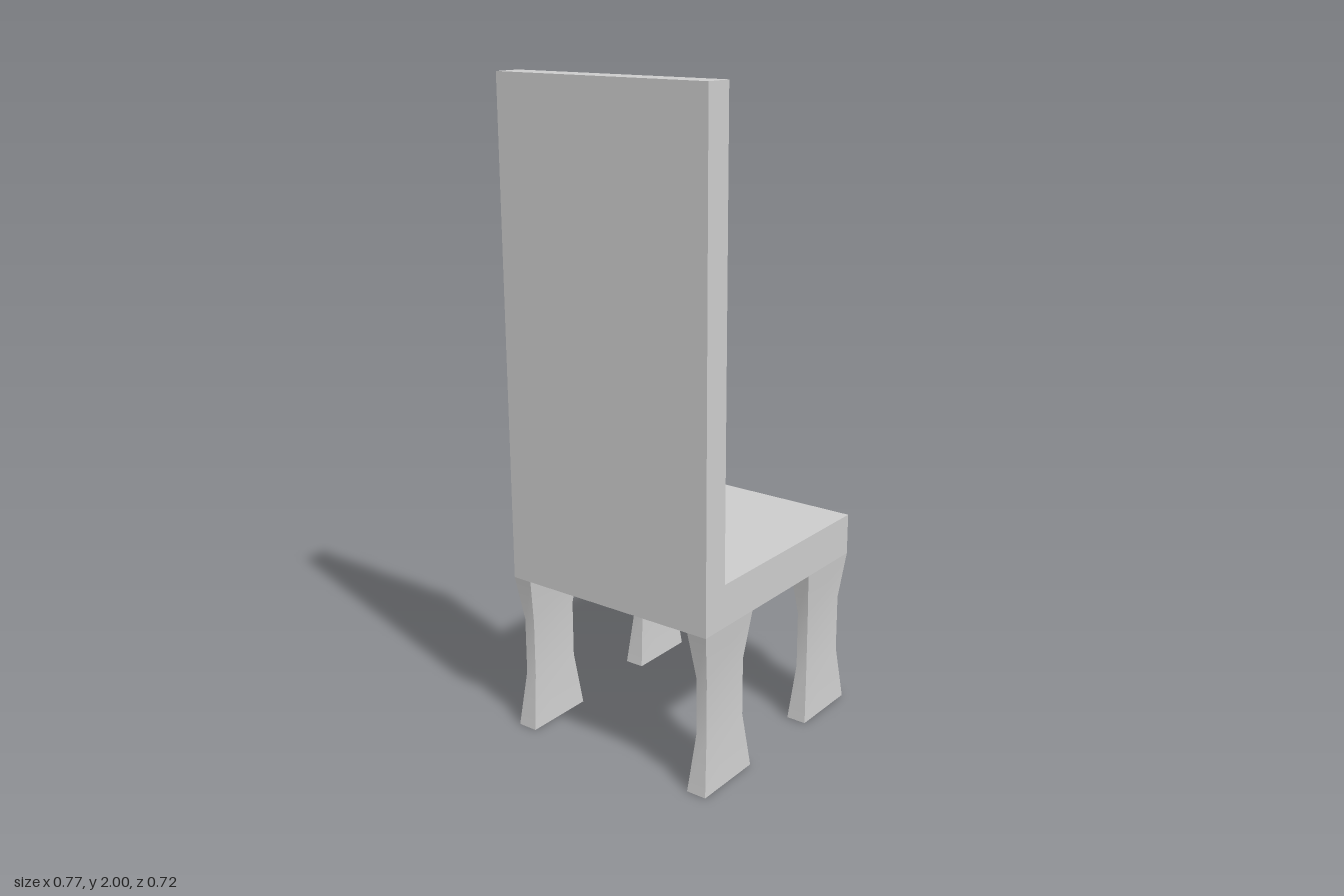
import * as THREE from 'three';

const material = new THREE.MeshStandardMaterial({ color: 0xcccccc });

// Leg: a box with four rings, pinched in the middle; faces shade smoothly, corners stay sharp
function createLegGeometry() {
  const rings = [ // y, half width (x), half depth (z), top to bottom
    [0.5, 0.115, 0.032],
    [0.355, 0.09, 0.018],
    [0.175, 0.09, 0.018],
    [0, 0.115, 0.032],
  ];
  const geometry = new THREE.BoxGeometry(2, 3, 2, 1, 3, 1);
  const p = geometry.attributes.position;
  for (let i = 0; i < p.count; i++) {
    const [y, hw, hd] = rings[Math.round(1.5 - p.getY(i))];
    p.setXYZ(i, p.getX(i) * hw, y, p.getZ(i) * hd);
  }
  geometry.computeVertexNormals();
  return geometry;
}

// Seat and tall back: one L-shaped profile extruded along z
function createBodyGeometry() {
  const profile = new THREE.Shape([
    [-0.383, 0.5], [0.383, 0.5], [0.383, 0.63],
    [-0.294, 0.63], [-0.294, 2], [-0.383, 2],
  ].map(([x, y]) => new THREE.Vector2(x, y)));
  const depth = 0.716;
  return new THREE.ExtrudeGeometry(profile, { depth, bevelEnabled: false })
    .translate(0, 0, -depth / 2);
}

export function createModel() {
  const chair = new THREE.Group();
  chair.name = 'chair';

  const body = new THREE.Mesh(createBodyGeometry(), material);
  body.name = 'seatAndBack';
  chair.add(body);

  // Four legs, one under each corner of the seat (the backrest stands at -x)
  const legGeometry = createLegGeometry();
  for (const [end, x] of [['seatFront', 0.268], ['seatBack', -0.268]]) {
    for (const [side, z] of [['A', 0.326], ['B', -0.326]]) {
      const leg = new THREE.Mesh(legGeometry, material);
      leg.name = `${end}Leg${side}`;
      leg.position.set(x, 0, z);
      chair.add(leg);
    }
  }
  return chair;
}
